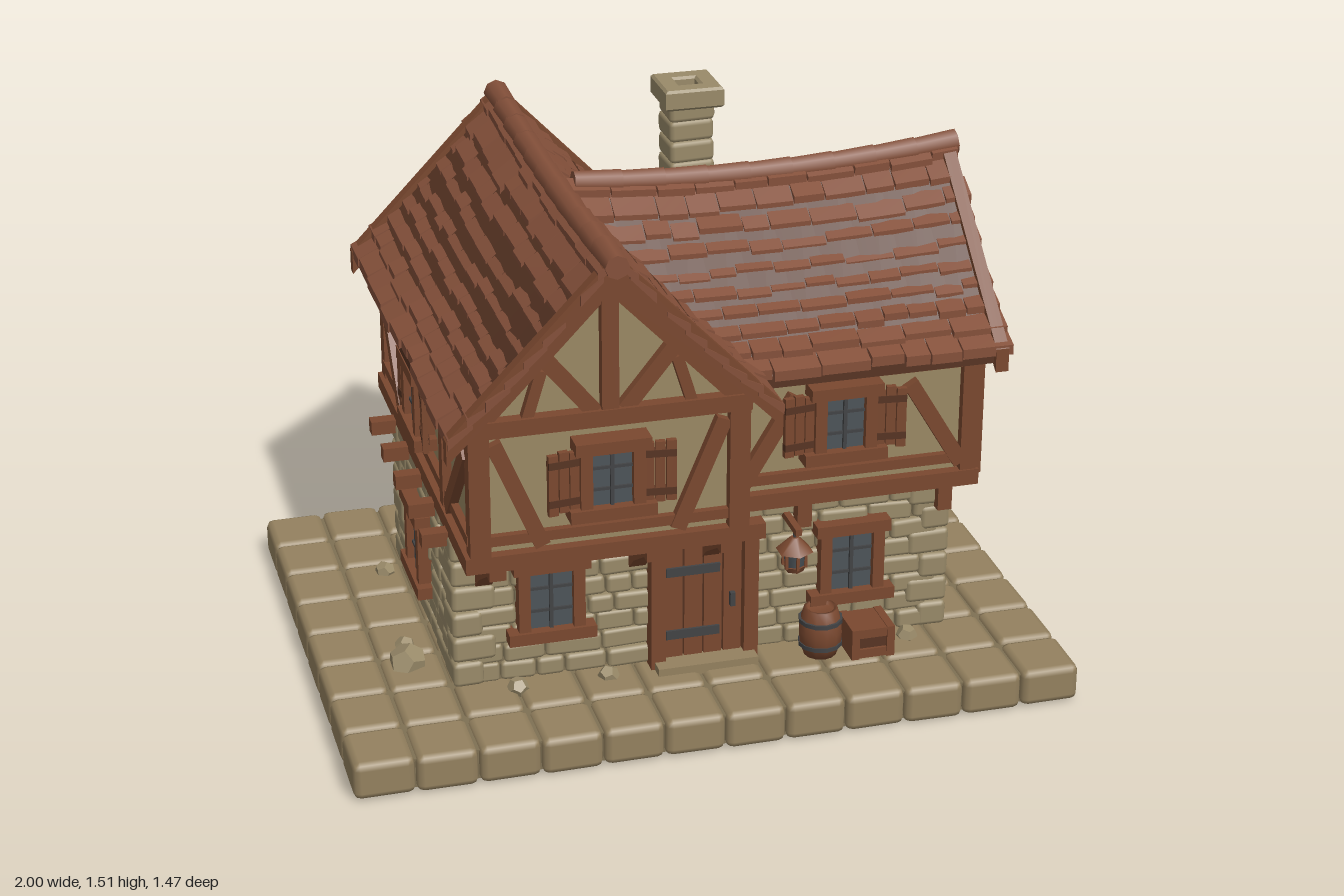
import * as THREE from 'three';
import { mergeGeometries } from 'three/addons/utils/BufferGeometryUtils.js';
import { RoundedBoxGeometry } from 'three/addons/geometries/RoundedBoxGeometry.js';

const mat = (name, color) => Object.assign(new THREE.MeshStandardMaterial({ color }), { name });
const M = {
  paving: mat('paving', 0x94815f), stone: mat('stone', 0x998a69), mortar: mat('mortar', 0x7f7154),
  plaster: mat('plaster', 0x9a8863), timber: mat('timber', 0x7a482f), roof: mat('roofTile', 0x84503a),
  dark: mat('darkTimber', 0x573423), glass: mat('glass', 0x4d5459), iron: mat('iron', 0x424345),
};
let seed = 7;
const rnd = () => (seed = (seed * 16807) % 2147483647) / 2147483647;
const jit = (a) => (rnd() * 2 - 1) * a;

function mesh(parent, name, geo, m) {
  const o = new THREE.Mesh(geo, m);
  o.name = name;
  parent.add(o);
  return o;
}
function box(parent, name, m, x, y, z, w, h, d) {
  const o = mesh(parent, name, new THREE.BoxGeometry(w, h, d), m);
  o.position.set(x, y, z);
  return o;
}
// Straight timber between two points on a wall face
function beam(parent, x1, y1, x2, y2, w = 0.042, d = 0.04, name = 'timberBeam') {
  const o = box(parent, name, M.timber, (x1 + x2) / 2, (y1 + y2) / 2, 0, Math.hypot(x2 - x1, y2 - y1), w, d);
  o.rotation.z = Math.atan2(y2 - y1, x2 - x1);
  return o;
}
function stoneGeo(x, y, z, w, h, d, r = 0.012, tilt = 0.03) {
  const g = new RoundedBoxGeometry(w, h, d, 1, Math.min(r, w / 3, h / 3, d / 3));
  g.rotateZ(jit(tilt)).rotateX(jit(tilt)).rotateY(jit(tilt));
  return g.translate(x, y, z);
}
// Local wall frame: x along the wall, y up, z outwards
function face(parent, name, x, z, turn) {
  const g = new THREE.Group();
  g.name = name;
  g.position.set(x, 0, z);
  g.rotation.y = turn * Math.PI / 2;
  parent.add(g);
  return g;
}

function windowUnit(parent, x, y, w, h, shutters) {
  const g = new THREE.Group();
  g.name = 'window';
  g.position.set(x, y, 0);
  parent.add(g);
  box(g, 'windowGlass', M.glass, 0, 0, 0.015, w, h, 0.03);
  for (const s of [-1, 1]) {
    box(g, 'windowJamb', M.timber, s * w / 2, 0, 0.02, 0.032, h + 0.03, 0.06);
    box(g, 'windowRail', M.timber, 0, s * (h / 2 + 0.004), 0.024, w + (s < 0 ? 0.09 : 0.06), 0.034, 0.07);
    box(g, 'glazingBar', M.iron, 0, s * h / 6, 0.032, w, 0.008, 0.008);
    if (!shutters) continue;
    const sh = new THREE.Group();
    sh.name = 'shutter';
    sh.position.set(s * (w / 2 + 0.058), 0, 0.032);
    sh.rotation.y = -s * 0.12;
    g.add(sh);
    for (const k of [-1, 0, 1]) box(sh, 'shutterPlank', M.timber, k * 0.029, jit(0.006), 0, 0.026, h - 0.01, 0.016);
    for (const k of [-1, 1]) box(sh, 'shutterBatten', M.dark, 0, k * h * 0.3, 0, 0.084, 0.02, 0.02);
  }
  box(g, 'glazingBar', M.iron, 0, 0, 0.034, 0.01, h, 0.01);
}

function door(parent, x) {
  const g = new THREE.Group();
  g.name = 'door';
  g.position.x = x;
  parent.add(g);
  box(g, 'doorBacking', M.dark, 0, 0.3, 0.015, 0.24, 0.38, 0.03);
  for (let i = 0; i < 4; i++) box(g, 'doorPlank', M.timber, -0.083 + i * 0.055, 0.29, 0.025, 0.05, 0.36, 0.03);
  for (const s of [-1, 1]) box(g, 'doorPost', M.timber, s * 0.13, 0.3, 0.025, 0.04, 0.39, 0.07);
  box(g, 'doorLintel', M.timber, 0, 0.495, 0.03, 0.33, 0.045, 0.08);
  for (const y of [0.2, 0.39]) box(g, 'doorHinge', M.iron, -0.03, y, 0.042, 0.15, 0.026, 0.01);
  box(g, 'doorHandle', M.iron, 0.08, 0.29, 0.045, 0.014, 0.04, 0.02);
  box(g, 'doorStep', M.paving, 0, 0.115, 0.05, 0.28, 0.03, 0.1);
}

// One wall of irregular stone courses
function stoneWall(parent, len) {
  const parts = [], rows = 8, rh = 0.45 / rows;
  for (let r = 0; r < rows; r++) {
    let x = -len / 2 + 0.03;
    while (x < len / 2 - 0.05) {
      const w = Math.min(0.07 + rnd() * 0.09, len / 2 - 0.02 - x);
      parts.push(stoneGeo(x + w / 2, 0.11 + rh * (r + 0.5), 0, w - 0.003, rh - 0.002, 0.024 + rnd() * 0.024));
      x += w;
    }
  }
  mesh(parent, 'wallStones', mergeGeometries(parts), M.stone);
}

// Roof slope: (along, lift, p) coordinates, p is the distance out from the ridge
const roofs = {
  main: { half: 0.435, ridge: (a) => 1.375 + 0.06 * a * a, at: (a, p, y, s) => [-0.28 + s * p, y, a], flip: 1 },
  wing: { half: 0.49, ridge: (a) => 1.345 + 0.1 * (a - 0.25) ** 2, at: (a, p, y, s) => [a, y, s * p], flip: -1 },
};
function slopeBox(R, s, a0, a1, p0, p1, lift, segs = 1) {
  const g = new THREE.BoxGeometry(1, 1, 1, segs, 1, 1), P = g.attributes.position;
  for (let i = 0; i < P.count; i++) {
    const a = a0 + (P.getX(i) + 0.5) * (a1 - a0), q = P.getZ(i) + 0.5, p = p0 + q * (p1 - p0);
    const top = R.ridge(a), y = top - (top - 0.945) * p / R.half - 0.02 * Math.sin(Math.PI * p / R.half);
    const k = P.getY(i) < 0 ? 0 : 1;
    P.setXYZ(i, ...R.at(a, p, y + lift[k] + (lift[k + 2] - lift[k]) * q, s));
  }
  if (s === R.flip) g.index.array.reverse();
  g.computeVertexNormals();
  return g;
}
function buildRoof(parent, name, R, a0, a1, courses, start, boards) {
  const g = new THREE.Group();
  g.name = name;
  parent.add(g);
  const tiles = [], deck = [], barge = [];
  for (const s of [-1, 1]) {
    deck.push(slopeBox(R, s, a0 + 0.02, a1 - 0.02, 0, R.half - 0.01, [-0.03, 0.004, -0.03, 0.004], 10));
    for (const b of boards) barge.push(slopeBox(R, s, b - 0.018, b + 0.018, 0, R.half + 0.005, [-0.06, 0.022, -0.04, 0.026]));
    for (let c = 0; c < courses; c++) {
      const p0 = R.half * c / courses, p1 = R.half * (c + 1) / courses;
      let a = Math.max(a0, start(p0)) + jit(0.008);
      while (a < a1 - 0.02) {
        let e = a + 0.07 + rnd() * 0.07;
        if (e > a1 - 0.04) e = a1 + jit(0.008);
        const l = jit(0.004);
        tiles.push(slopeBox(R, s, a + 0.002, e - 0.002, Math.max(0, p0 - 0.015), p1 + jit(0.007), [-0.005, 0.008, 0.004 + l, 0.032 + l]));
        a = e;
      }
    }
  }
  mesh(g, 'roofDeck', mergeGeometries(deck), M.dark);
  mesh(g, 'roofTiles', mergeGeometries(tiles), M.roof);
  mesh(g, 'bargeBoards', mergeGeometries(barge), M.timber);
  // Rounded ridge tiles
  const r0 = Math.max(a0, start(0.06)), n = Math.round((a1 - r0) / 0.12), step = (a1 - r0) / n;
  for (let i = 0; i < n; i++) {
    const a = r0 + (i + 0.5) * step, o = mesh(g, 'ridgeTile', new THREE.CylinderGeometry(0.032, 0.036, step + 0.012, 8), M.roof);
    o.position.set(...R.at(a, 0, R.ridge(a) - 0.004, 1));
    if (R === roofs.main) o.rotation.x = Math.PI / 2;
    else o.rotation.z = Math.PI / 2 + (R.ridge(a + 0.05) - R.ridge(a - 0.05)) * 10;
  }
}

function upperStorey(parent, name, half, depth, shoulder, apex) {
  const s = new THREE.Shape([[-half, 0.57], [half, 0.57], [half, shoulder], [0, apex], [-half, shoulder]].map((p) => new THREE.Vector2(...p)));
  return mesh(parent, name, new THREE.ExtrudeGeometry(s, { depth, bevelEnabled: false }), M.plaster);
}
// Timber framing for a gabled wall, h is the half width
function gableFrame(f, h, shoulder, apex) {
  for (const s of [-1, 1]) {
    beam(f, s * (h - 0.01), 0.58, s * (h - 0.01), 0.96, 0.055, 0.05, 'cornerPost');
    beam(f, s * (h - 0.05), 0.91, s * 0.18, 0.61);
    beam(f, s * 0.04, 0.97, s * h * 0.5, 1.14);
    beam(f, s * (h + 0.02), shoulder - 0.03, 0, apex + 0.005, 0.06, 0.045, 'rafter');
    beam(f, s * h * 0.62, 0.96, s * h * 0.5, 1.1, 0.03);
  }
  beam(f, -h - 0.02, 0.955, h + 0.02, 0.955, 0.045, 0.06, 'tieBeam');
  beam(f, 0, 0.96, 0, apex, 0.045, 0.05, 'kingPost');
  beam(f, -h, 0.635, h, 0.635, 0.028, 0.03, 'rail');
  windowUnit(f, 0, 0.79, 0.14, 0.18, true);
}

export function createModel() {
  const root = new THREE.Group();
  root.name = 'timberFramedHouse';

  // Paved plinth
  box(root, 'plinthCore', M.mortar, 0, 0.052, 0, 1.95, 0.085, 1.42);
  const slabs = [];
  for (let i = 0; i < 12; i++) for (let j = 0; j < 8; j++) {
    slabs.push(stoneGeo(-1 + (i + 0.5) / 6, 0.055 + jit(0.002), -0.735 + (j + 0.5) * 0.18375, 0.164, 0.106, 0.181, 0.02, 0.008));
  }
  mesh(root, 'pavingSlabs', mergeGeometries(slabs), M.paving);

  // Ground floor with stone courses and corner quoins
  box(root, 'groundFloorCore', M.mortar, 0.03, 0.335, 0, 1.35, 0.45, 0.78);
  const ground = [['frontWall', 0.03, 0.39, 0, 1.37], ['rightWall', 0.705, 0, 1, 0.8], ['backWall', 0.03, -0.39, 2, 1.37], ['leftWall', -0.645, 0, 3, 0.8]];
  const [gf, gr, gb, gl] = ground.map(([n, x, z, t, len]) => {
    const f = face(root, n, x, z, t);
    stoneWall(f, len);
    return f;
  });
  const quoins = [];
  for (const sx of [-1, 1]) for (const sz of [-1, 1]) for (let i = 0; i < 6; i++) {
    const a = i % 2 ? 0.12 : 0.085, b = i % 2 ? 0.085 : 0.12;
    quoins.push(stoneGeo(0.03 + sx * (0.698 - a / 2), 0.147 + i * 0.075, sz * (0.415 - b / 2), a, 0.072, b, 0.014));
  }
  mesh(root, 'quoins', mergeGeometries(quoins), M.stone);
  windowUnit(gf, -0.43, 0.355, 0.15, 0.2);
  windowUnit(gf, 0.41, 0.355, 0.15, 0.2);
  door(gf, -0.01);
  windowUnit(gr, 0, 0.355, 0.17, 0.2);
  windowUnit(gb, -0.41, 0.355, 0.15, 0.2);
  windowUnit(gb, 0.38, 0.355, 0.15, 0.2);
  door(gb, 0);
  windowUnit(gl, 0, 0.355, 0.16, 0.2);
  for (let i = 0; i < 8; i++) box(gr, 'exposedBrick', M.roof, -0.25 + (i % 2) * 0.05 + jit(0.02), 0.18 + (i >> 1) * 0.03, 0.015, 0.045, 0.024, 0.03);

  // Upper storeys on timber floors
  upperStorey(root, 'mainUpperStorey', 0.355, 1.16, 0.975, 1.33).position.set(-0.28, 0, -0.58);
  const wing = upperStorey(root, 'wingUpperStorey', 0.42, 1.05, 0.95, 1.31);
  wing.rotation.y = Math.PI / 2;
  wing.position.x = -0.28;
  box(root, 'mainFloor', M.timber, -0.28, 0.575, 0, 0.77, 0.045, 1.22);
  box(root, 'wingFloor', M.timber, 0.25, 0.575, 0, 1.08, 0.045, 0.9);

  gableFrame(face(root, 'frontGable', -0.28, 0.585, 0), 0.355, 0.975, 1.33);
  gableFrame(face(root, 'backGable', -0.28, -0.585, 2), 0.355, 0.975, 1.33);
  gableFrame(face(root, 'rightGable', 0.775, 0, 1), 0.42, 0.95, 1.32);

  // Long side framing of the wing and the main block
  for (const t of [0, 2]) {
    const k = t ? -1 : 1, f = face(root, 'wingSide', 0.43, k * 0.425, t);
    for (const x of [-0.33, 0.33]) beam(f, x, 0.58, x, 0.95, 0.045);
    beam(f, -0.35, 0.93, 0.35, 0.93, 0.05);
    beam(f, -0.35, 0.635, 0.35, 0.635, 0.028, 0.03);
    beam(f, -0.31, 0.62, -0.16, 0.87);
    beam(f, 0.31, 0.62, 0.16, 0.87);
    windowUnit(f, -0.03 * k, 0.79, 0.14, 0.18, true);
    const stub = face(root, 'mainStub', 0.08, k * 0.5, 1);
    beam(stub, -0.08, 0.94, 0.08, 0.94, 0.045);
    beam(stub, k * 0.06, 0.62, -k * 0.06, 0.9);
  }
  const side = face(root, 'leftSide', -0.64, 0, 3);
  beam(side, -0.58, 0.94, 0.58, 0.94, 0.05);
  beam(side, -0.58, 0.635, 0.58, 0.635, 0.028, 0.03);
  for (const s of [-1, 1]) {
    beam(side, s * 0.28, 0.6, s * 0.28, 0.94);
    beam(side, s * 0.56, 0.88, s * 0.32, 0.61);
  }
  windowUnit(side, 0, 0.79, 0.15, 0.18, true);

  // Jetty brackets and joist ends
  for (const k of [-1, 1]) for (const x of [-0.58, -0.16, 0.04]) {
    const f = face(root, 'jettyBracket', x, k * 0.4, k > 0 ? -1 : 1);
    beam(f, 0, 0.43, 0.06, 0.485, 0.045, 0.045, 'brace');
    beam(f, 0.05, 0.475, 0.165, 0.545, 0.045, 0.045, 'brace');
    beam(f, 0, 0.54, 0.2, 0.54, 0.04, 0.045, 'joist');
  }
  for (const z of [-0.36, -0.18, 0, 0.18, 0.36]) {
    box(root, 'joistEnd', M.timber, 0.745, 0.54, z, 0.09, 0.045, 0.04);
    box(root, 'joistEnd', M.timber, -0.69, 0.545, z, 0.09, 0.04, 0.04);
  }
  for (const z of [-0.41, 0.41]) for (const x of [0.3, 0.7]) box(root, 'joistEnd', M.timber, x, 0.52, z, 0.04, 0.08, 0.06);

  // Two crossing roofs
  buildRoof(root, 'mainRoof', roofs.main, -0.68, 0.68, 9, () => -1, [-0.655, 0.655]);
  buildRoof(root, 'wingRoof', roofs.wing, -0.26, 0.85, 10, (p) => -0.27 + 0.85 * p, [0.825]);

  // Chimney
  const stack = [];
  for (let i = 0; i < 8; i++) stack.push(stoneGeo(0.18 + jit(0.004), 1.02 + i * 0.06, -0.315 + jit(0.004), 0.128 + jit(0.006), 0.062, 0.128 + jit(0.006), 0.014));
  mesh(root, 'chimneyStack', mergeGeometries(stack), M.stone);
  const ring = new THREE.Shape([[-1, -1], [1, -1], [1, 1], [-1, 1]].map(([x, y]) => new THREE.Vector2(x * 0.076, y * 0.076)));
  ring.holes.push(new THREE.Path([[-1, -1], [-1, 1], [1, 1], [1, -1]].map(([x, y]) => new THREE.Vector2(x * 0.036, y * 0.036))));
  const cap = mesh(root, 'chimneyCap', new THREE.ExtrudeGeometry(ring, { depth: 0.045, bevelSize: 0.007, bevelThickness: 0.007, bevelSegments: 1 }), M.stone);
  cap.rotation.x = -Math.PI / 2;
  cap.position.set(0.18, 1.457, -0.315);

  // Lantern on an arm
  const lamp = new THREE.Group();
  lamp.name = 'lantern';
  lamp.position.set(0.26, 0, 0.48);
  root.add(lamp);
  box(lamp, 'lanternArm', M.timber, 0, 0.505, -0.03, 0.018, 0.018, 0.13);
  for (const [n, m, y, r1, r2, h] of [['lanternHook', M.iron, 0.49, 0.005, 0.005, 0.04], ['lanternRoof', M.timber, 0.457, 0.012, 0.052, 0.04],
    ['lanternGlass', M.glass, 0.415, 0.034, 0.026, 0.05], ['lanternBase', M.timber, 0.385, 0.032, 0.025, 0.016]]) {
    mesh(lamp, n, new THREE.CylinderGeometry(r1, r2, h, 6), m).position.y = y;
  }
  for (let i = 0; i < 6; i++) box(lamp, 'lanternBar', M.timber, 0.031 * Math.sin(i * Math.PI / 3), 0.415, 0.031 * Math.cos(i * Math.PI / 3), 0.008, 0.05, 0.008);

  // Barrel and crate by the front wall
  const staves = [[0, 0], [0.045, 0], [0.058, 0.04], [0.06, 0.07], [0.058, 0.1], [0.046, 0.14], [0.038, 0.14], [0.036, 0.128], [0, 0.128]];
  mesh(root, 'barrel', new THREE.LatheGeometry(staves.map((p) => new THREE.Vector2(...p)), 12), M.timber).position.set(0.34, 0.11, 0.475);
  for (const y of [0.145, 0.215]) mesh(root, 'barrelHoop', new THREE.CylinderGeometry(0.061, 0.061, 0.012, 12), M.iron).position.set(0.34, y, 0.475);
  box(root, 'crate', M.dark, 0.47, 0.152, 0.485, 0.1, 0.084, 0.1);
  for (const y of [0.125, 0.185]) box(root, 'crateSlat', M.timber, 0.47, y, 0.485, 0.116, 0.026, 0.116);
  for (const s of [-1, 1]) box(root, 'crateSlat', M.timber, 0.47 + s * 0.05, 0.155, 0.485, 0.022, 0.09, 0.12);

  // Loose stones around the walls
  for (const [x, z, r] of [[-0.76, 0.24, 0.055], [-0.75, 0.15, 0.03], [0.81, -0.2, 0.045], [0.77, 0.2, 0.03], [-0.5, 0.45, 0.03], [-0.25, 0.45, 0.03],
    [0.6, 0.45, 0.03], [-0.55, -0.45, 0.035], [0.25, -0.44, 0.03], [-0.72, -0.3, 0.03], [0.68, -0.44, 0.03]]) {
    const o = mesh(root, 'looseStone', new THREE.DodecahedronGeometry(r), M.stone);
    o.position.set(x, 0.112, z);
    o.rotation.set(rnd(), rnd() * 6, rnd());
  }
  return root;
}
